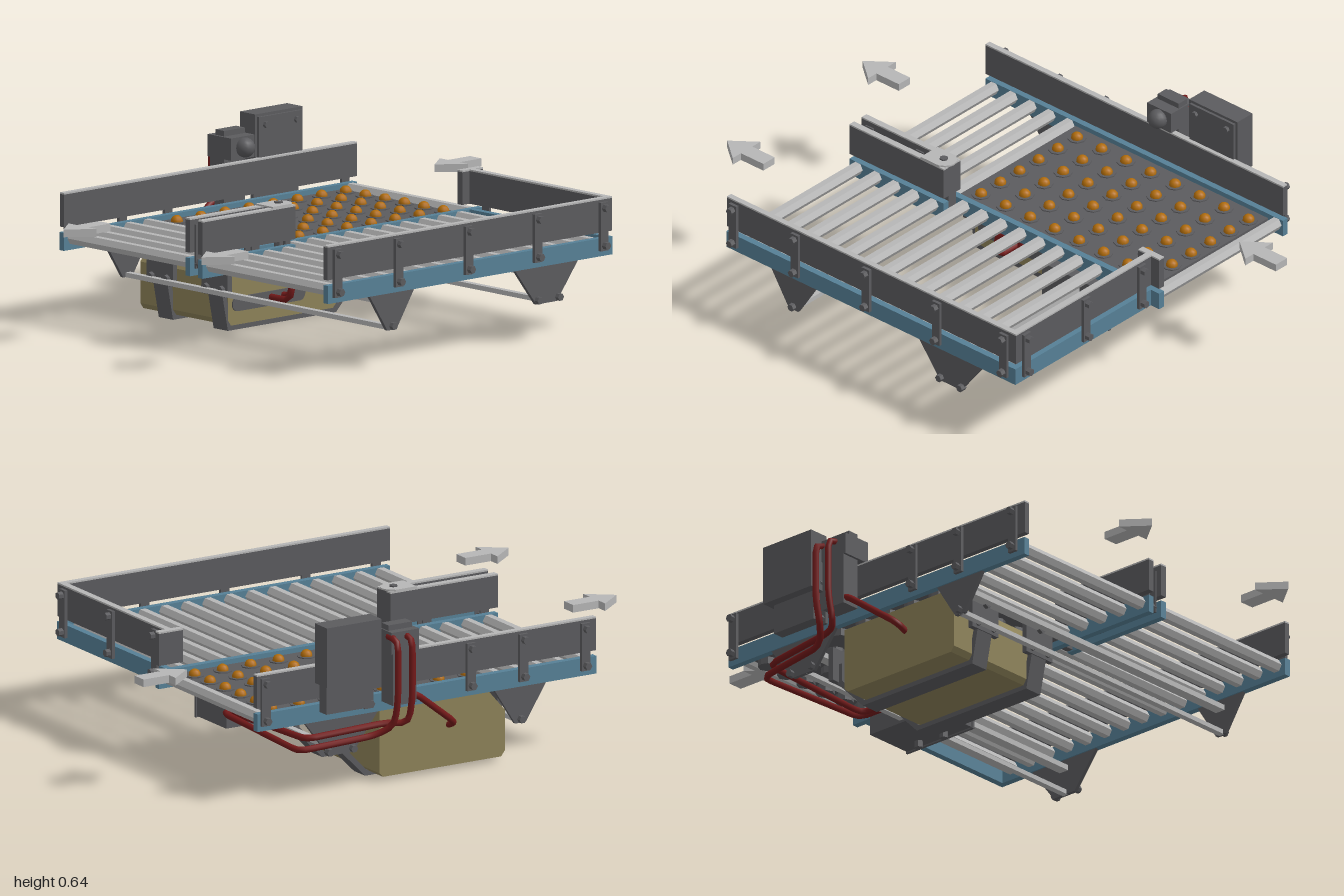
import * as THREE from 'three';

const mat = (name, color) => {
  const m = new THREE.MeshStandardMaterial({ color });
  m.name = name;
  return m;
};

export function createModel() {
  const root = new THREE.Group();
  const dark = mat('dark grey steel', 0x5b5b5e);
  const light = mat('light grey steel', 0xb6b6b6);
  const blue = mat('blue rail', 0x568096);
  const beige = mat('beige housing', 0x8c8158);
  const orange = mat('orange ball', 0xb06c0c);
  const red = mat('red hose', 0x741a1a);

  const add = (name, geo, m, x = 0, y = 0, z = 0) => {
    const mesh = new THREE.Mesh(geo, m);
    mesh.name = name;
    mesh.position.set(x, y, z);
    root.add(mesh);
    return mesh;
  };
  const box = (name, m, x0, x1, y0, y1, z0, z1) =>
    add(name, new THREE.BoxGeometry(x1 - x0, y1 - y0, z1 - z0), m, (x0 + x1) / 2, (y0 + y1) / 2, (z0 + z1) / 2);
  // prism from a side outline of [z, y] points, spanning x0..x1
  const sidePrism = (name, m, points, x0, x1) => {
    const shape = new THREE.Shape(points.map(p => new THREE.Vector2(p[0], p[1])));
    const geo = new THREE.ExtrudeGeometry(shape, { depth: x1 - x0, bevelEnabled: false });
    geo.rotateY(-Math.PI / 2);
    return add(name, geo, m, x1);
  };
  // hexagonal rod along one axis
  const rod = (name, m, axis, r, len, x, y, z, sides = 6) => {
    const geo = new THREE.CylinderGeometry(r, r, len, sides).toNonIndexed();
    if (axis === 'x') geo.rotateZ(Math.PI / 2);
    if (axis === 'z') geo.rotateX(Math.PI / 2);
    geo.computeVertexNormals();
    return add(name, geo, m, x, y, z);
  };
  const hose = (name, points) => {
    const path = new THREE.CurvePath();
    const v = points.map(p => new THREE.Vector3(...p));
    let from = v[0];
    for (let i = 1; i < v.length - 1; i++) {
      // rounded corners
      const a = v[i].clone().lerp(v[i - 1], Math.min(0.45, 0.04 / v[i].distanceTo(v[i - 1])));
      const b = v[i].clone().lerp(v[i + 1], Math.min(0.45, 0.04 / v[i].distanceTo(v[i + 1])));
      path.add(new THREE.LineCurve3(from, a));
      path.add(new THREE.QuadraticBezierCurve3(a, v[i], b));
      from = b;
    }
    path.add(new THREE.LineCurve3(from, v[v.length - 1]));
    add(name, new THREE.TubeGeometry(path, 70, 0.012, 8), red);
  };

  // side rails
  box('rightRail', blue, -0.655, -0.63, 0.275, 0.34, -0.72, 0.70);
  box('middleRail', blue, 0, 0.025, 0.275, 0.34, -0.72, 0.70);
  box('dividerRail', blue, 0.065, 0.09, 0.275, 0.34, 0.25, 0.70);
  box('leftRail', blue, 0.717, 0.742, 0.275, 0.34, -0.68, 0.70);
  box('backRail', blue, 0.025, 0.717, 0.275, 0.34, -0.68, -0.655);

  // upright guards with light top edges
  const guard = (name, x0, x1, z0, z1) => {
    box(name, dark, x0, x1, 0.36, 0.478, z0, z1);
    box(name + 'TopEdge', light, x0, x1, 0.478, 0.484, z0, z1);
  };
  guard('rightGuard', -0.652, -0.63, -0.72, 0.70);
  guard('leftGuard', 0.717, 0.739, -0.68, 0.70);
  guard('backGuard', 0.025, 0.717, -0.68, -0.655);
  guard('backGuardReturn', 0, 0.025, -0.72, -0.62);
  guard('dividerGuardRight', 0, 0.025, 0.25, 0.70);
  guard('dividerGuardLeft', 0.065, 0.09, 0.25, 0.70);

  // straps and bolts joining guards to rails
  const strapX = (xIn, dir, z) => {
    box('guardStrap', dark, Math.min(xIn, xIn + dir * 0.012), Math.max(xIn, xIn + dir * 0.012), 0.295, 0.47, z - 0.018, z + 0.018);
    for (const y of [0.315, 0.45]) rod('guardBolt', dark, 'x', 0.014, 0.022, xIn + dir * 0.02, y, z);
  };
  for (const z of [0.66, 0.365, 0.025, -0.31, -0.63]) strapX(0.742, 1, z);
  for (const z of [0.65, 0.39, 0.17, -0.26, -0.69]) strapX(-0.655, -1, z);
  for (const x of [0.08, 0.375, 0.69]) {
    box('backGuardStrap', dark, x - 0.018, x + 0.018, 0.295, 0.47, -0.692, -0.68);
    for (const y of [0.315, 0.45]) rod('backGuardBolt', dark, 'z', 0.014, 0.022, x, y, -0.70);
  }
  for (const z of [0.42, 0.66]) {
    box('dividerStrap', dark, 0.025, 0.031, 0.30, 0.46, z - 0.018, z + 0.018);
    box('dividerStrap', dark, 0.059, 0.065, 0.30, 0.46, z - 0.018, z + 0.018);
  }

  // divider end plate and pivot
  box('dividerEndPlate', light, 0, 0.09, 0.484, 0.49, 0.27, 0.36);
  rod('dividerEndRound', light, 'y', 0.044, 0.006, 0.045, 0.487, 0.285, 16);
  rod('dividerPivot', dark, 'y', 0.016, 0.20, 0.045, 0.395, 0.29);
  box('dividerNose', dark, 0.025, 0.065, 0.28, 0.484, 0.25, 0.275);

  // rollers
  const roller = (x0, x1, z) => {
    rod('roller', light, 'x', 0.024, x1 - x0, (x0 + x1) / 2, 0.318, z);
    for (const x of [x0 + 0.006, x1 - 0.006]) rod('rollerEnd', dark, 'x', 0.016, 0.02, x, 0.318, z);
  };
  for (let i = 0; i < 15; i++) {
    const z = 0.66 - i * 0.0905;
    roller(z > 0.25 ? 0.09 : 0.025, 0.717, z);
    if (i < 5) roller(-0.63, 0, z);
  }
  roller(-0.63, 0, -0.69);
  rod('dividerSpacer', dark, 'x', 0.02, 0.04, 0.045, 0.318, 0.66);

  // ball transfer table
  box('ballTable', dark, -0.63, 0, 0.298, 0.322, -0.65, 0.27);
  for (let i = 0; i < 6; i++) {
    for (let j = 0; j < 8; j++) {
      const x = -0.57 + i * 0.1015, z = -0.61 + j * 0.117;
      rod('ballCup', dark, 'y', 0.034, 0.055, x, 0.2985, z, 8);
      add('ball', new THREE.SphereGeometry(0.022, 10, 8), orange, x, 0.327, z);
    }
  }

  // hanging brackets and cross bars
  const bracket = (x0, x1, zc, top, low, bottom) =>
    sidePrism('hangingBracket', dark, [[zc - top, 0.278], [zc - low, bottom], [zc + low, bottom], [zc + top, 0.278]], x0, x1);
  for (const s of [-1, 1]) {
    const x0 = s > 0 ? 0.722 : -0.65;
    bracket(x0, x0 + 0.014, 0.385, 0.11, 0.022, 0.14);
    bracket(x0, x0 + 0.014, -0.365, 0.155, 0.05, 0.14);
    for (const z of [0.385, -0.32, -0.42]) rod('bracketBolt', dark, 'x', 0.014, 0.025, s > 0 ? 0.74 : -0.655, 0.155, z);
  }
  for (const z of [0.385, -0.365]) {
    box('upperCrossBar', light, -0.645, 0.73, 0.23, 0.25, z - 0.02, z + 0.02);
    box('lowerCrossBar', light, -0.645, 0.73, 0.14, 0.157, z - 0.012, z + 0.012);
  }

  // drive box below the table
  box('driveBox', dark, -0.13, 0.065, 0.13, 0.275, -0.52, -0.21);
  box('driveBoxCover', dark, 0.065, 0.075, 0.125, 0.278, -0.525, -0.205);
  for (const z of [-0.43, -0.31]) rod('driveBoxFoot', dark, 'y', 0.016, 0.03, 0.03, 0.12, z);

  // drive housing
  sidePrism('driveHousing', beige, [[-0.19, 0.265], [-0.19, 0.035], [-0.175, 0.02], [0.32, 0.02], [0.335, 0.04], [0.335, 0.19], [0.27, 0.265]], -0.625, -0.17);
  const slot = new THREE.Shape();
  slot.absarc(0.05, 0.095, 0.026, -Math.PI / 2, Math.PI / 2);
  slot.absarc(-0.25, 0.095, 0.026, Math.PI / 2, Math.PI * 1.5);
  const slotGeo = new THREE.ExtrudeGeometry(slot, { depth: 0.006, bevelEnabled: false, curveSegments: 8 });
  add('housingSlot', slotGeo.rotateY(Math.PI / 2), dark, -0.171, 0, 0.04);

  // housing carrier straps
  for (const x of [-0.492, -0.207]) {
    box('carrierPlate', dark, x - 0.068, x + 0.068, 0.13, 0.258, 0.345, 0.365);
    sidePrism('carrierStrap', dark, [
      [0.365, 0.15], [0.335, 0.003], [-0.19, 0.003], [-0.31, 0.125], [-0.31, 0.2],
      [-0.29, 0.2], [-0.29, 0.133], [-0.182, 0.022], [0.318, 0.022], [0.345, 0.15]], x - 0.037, x + 0.037);
    box('carrierRearPlate', dark, x - 0.068, x + 0.068, 0.13, 0.258, -0.325, -0.305);
    for (const [dx, y] of [[-0.04, 0.155], [0.04, 0.155], [0, 0.235]])
      rod('carrierBolt', dark, 'z', 0.016, 0.02, x + dx, y, 0.37);
  }

  // control cabinet
  box('controlCabinet', dark, -0.735, -0.655, 0.42, 0.64, -0.48, -0.25);
  box('cabinetDoor', dark, -0.655, -0.645, 0.43, 0.63, -0.47, -0.26);
  for (const z of [-0.44, -0.29]) for (const y of [0.46, 0.60]) rod('cabinetBolt', dark, 'x', 0.012, 0.02, -0.643, y, z);
  box('cabinetBackPlate', dark, -0.70, -0.655, 0.31, 0.44, -0.46, -0.27);

  // air service unit
  box('airUnitBody', dark, -0.73, -0.61, 0.50, 0.58, -0.205, -0.09);
  box('airUnitBowl', dark, -0.73, -0.655, 0.31, 0.51, -0.20, -0.10);
  box('airUnitBracket', dark, -0.70, -0.655, 0.58, 0.60, -0.20, -0.10);
  add('airGauge', new THREE.SphereGeometry(0.036, 14, 10), dark, -0.60, 0.542, -0.15);

  // hoses
  [0, 1].forEach(i => {
    hose('driveHose', [[-0.18, 0.10, 0.13 - i * 0.06], [-0.06 - i * 0.06, 0.10, 0.13 - i * 0.06],
      [-0.06 - i * 0.06, 0.20, 0.13 - i * 0.06], [-0.15 - i * 0.02, 0.20, -0.24], [-0.15 - i * 0.02, 0.20, -0.55 + i * 0.03],
      [-0.66, 0.18 + i * 0.04, -0.55 + i * 0.03], [-0.69, 0.20 + i * 0.04, -0.25 + i * 0.05],
      [-0.74, 0.24, -0.20 + i * 0.06], [-0.765, 0.34, -0.20 + i * 0.06],
      [-0.765, 0.56, -0.20 + i * 0.06], [-0.70, 0.56, -0.20 + i * 0.06]]);
  });
  hose('sideHose', [[-0.62, 0.17, 0.10], [-0.67, 0.19, 0.10], [-0.70, 0.28, -0.02], [-0.72, 0.34, -0.10], [-0.70, 0.34, -0.16]]);

  // flow direction arrows
  const arrow = new THREE.Shape([[-0.03, 0], [0.03, 0], [0.03, -0.107], [0.073, -0.107], [0, -0.2], [-0.073, -0.107], [-0.03, -0.107]]
    .map(p => new THREE.Vector2(p[0], p[1])));
  const arrowGeo = new THREE.ExtrudeGeometry(arrow, { depth: 0.028, bevelEnabled: false }).rotateX(-Math.PI / 2);
  for (const [x, z] of [[-0.312, -1], [-0.312, 0.8], [0.405, 0.8]]) add('flowArrow', arrowGeo, light, x, 0.408, z);

  return root;
}
